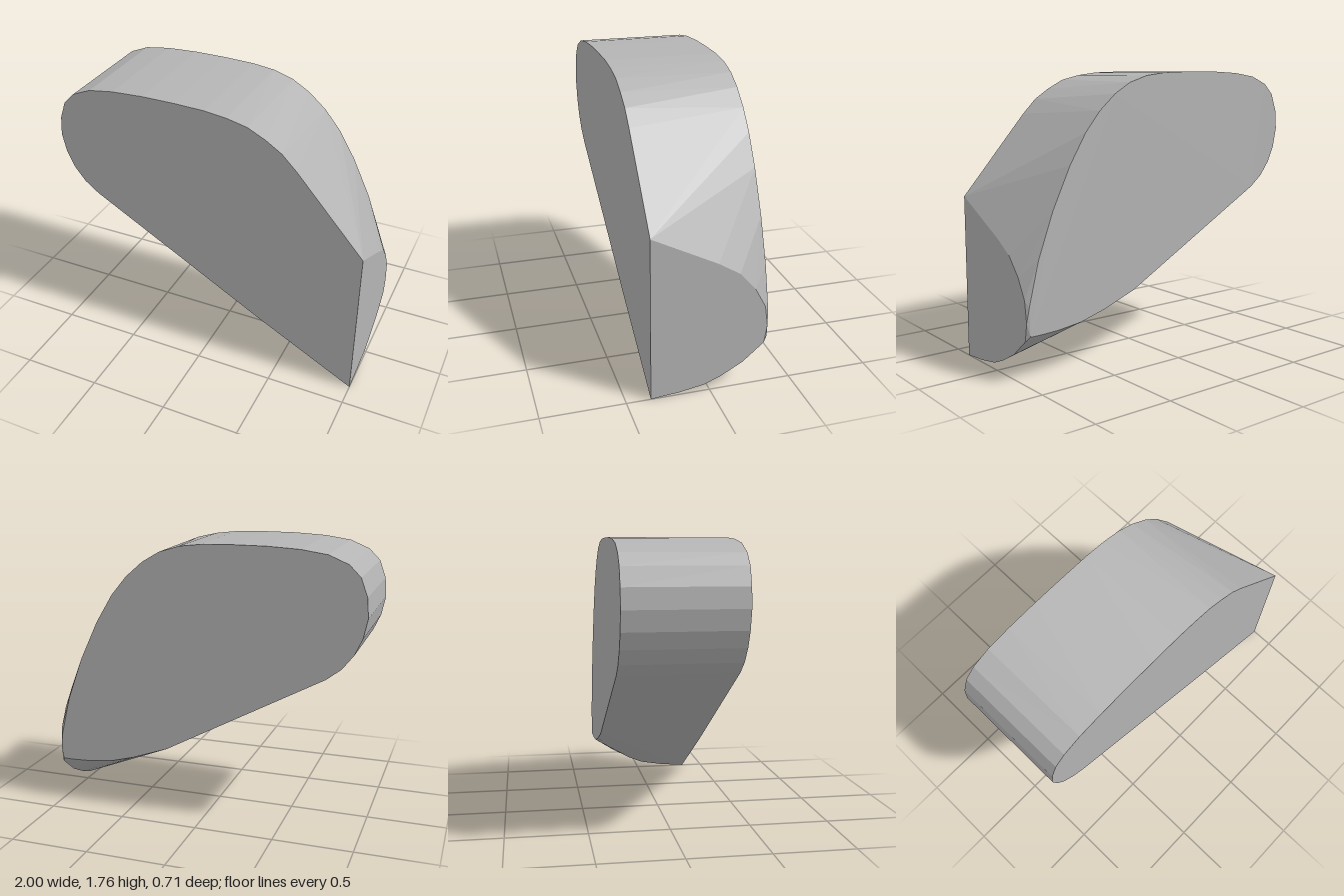
import * as THREE from 'three';
import { ConvexGeometry } from 'three/addons/geometries/ConvexGeometry.js';

export function createModel() {
  const group = new THREE.Group();
  const grey = new THREE.MeshStandardMaterial({ color: 0xb4b4b4, flatShading: true });
  grey.name = 'plain grey';

  const depth = 0.355;
  const at = (z, list) => list.map(([x, y]) => new THREE.Vector3(x, y, z));

  // rounded outline shared by the front and back faces
  const shared = [
    [0.14, 1.74], [0, 1.757], [-0.2, 1.763], [-0.4, 1.763], [-0.6, 1.753], [-0.76, 1.73],
    [-0.88, 1.68], [-0.95, 1.61], [-0.99, 1.5], [-1, 1.38], [-0.975, 1.26],
    [-0.93, 1.16], [-0.86, 1.07], [-0.77, 1.0],
  ];
  // front face runs out to a straight vertical edge
  const frontEnd = [[0.36, 0.35], [1, 0], [1, 1.01], [0.57, 1.5], [0.48, 1.59], [0.38, 1.655], [0.27, 1.71]];
  // back face is rounded off towards the same end
  const backEnd = [
    [0.24, 0.445], [0.47, 0.36], [0.63, 0.315], [0.79, 0.295], [0.91, 0.29], [0.98, 0.29], [0.985, 0.46],
    [0.92, 0.72], [0.82, 0.99], [0.7, 1.24], [0.59, 1.42], [0.49, 1.54], [0.38, 1.635], [0.27, 1.7],
  ];
  // curved rim of the flat end cap, as z and y
  const capRim = [
    [0.18, 0.015], [0.03, 0.04], [-0.07, 0.08], [-0.2, 0.15], [-0.33, 0.26],
    [-0.348, 0.37], [-0.33, 0.5], [-0.265, 0.62], [-0.17, 0.73], [-0.04, 0.81],
  ].map(([z, y]) => new THREE.Vector3(1, y, z));

  const points = [
    ...at(depth, [...shared, ...frontEnd]),
    ...at(-depth, [...shared, ...backEnd]),
    ...capRim,
  ];
  const body = new THREE.Mesh(new ConvexGeometry(points), grey);
  body.name = 'body';
  group.add(body);
  return group;
}
